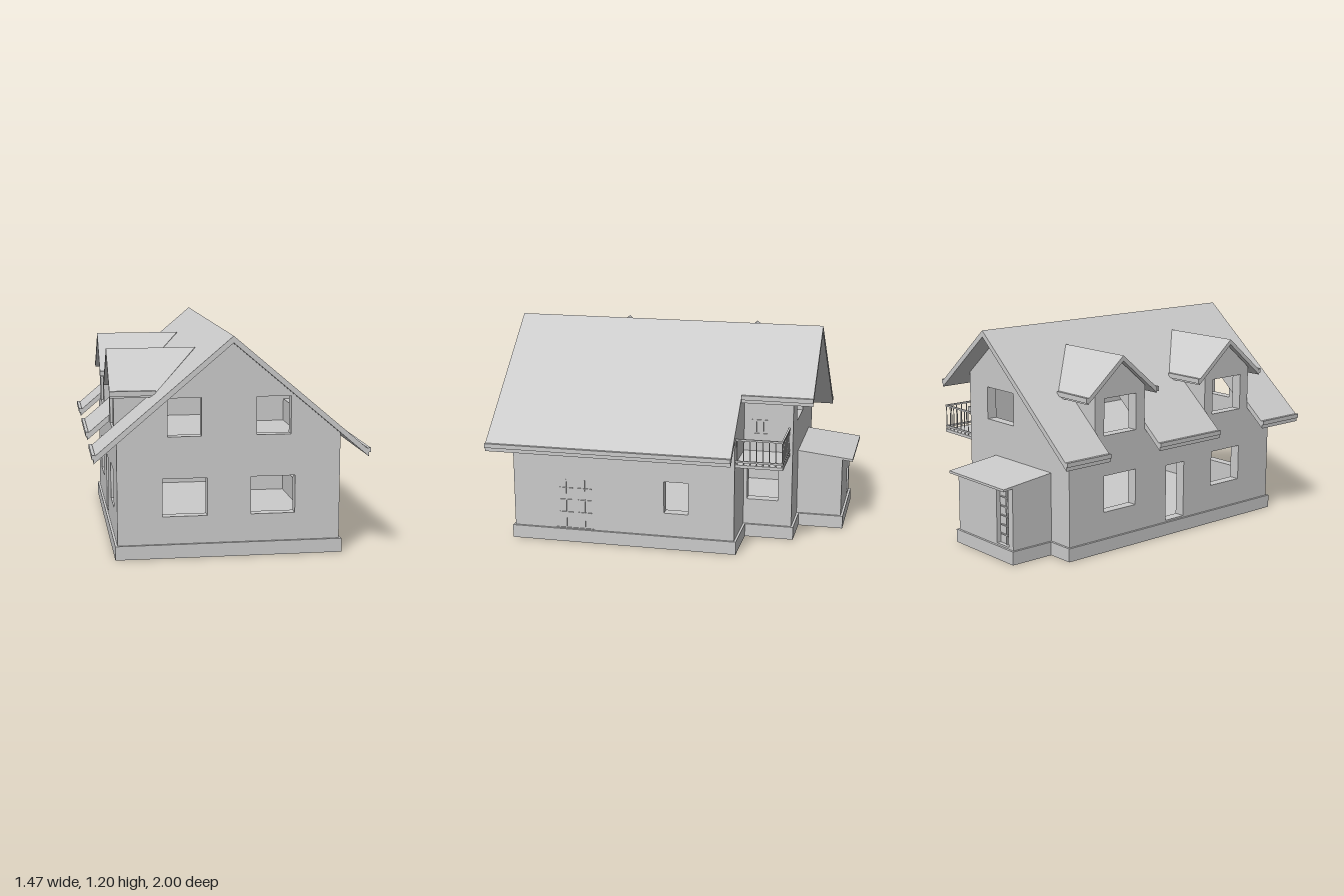
import * as THREE from 'three';

const mat = new THREE.MeshStandardMaterial({ color: 0xcccccc, flatShading: true, side: THREE.DoubleSide });
const T = 0.06;                      // wall thickness
const PITCH = 0.845, RIDGE = 1.195;  // main roof
const roofY = (x) => RIDGE - PITCH * Math.abs(x);
const under = (x) => roofY(x) - 0.036;
const DORMERS = [-0.32, 0.51];       // dormer centres along z

export function createModel() {
  const house = new THREE.Group();
  house.name = 'house';

  const add = (name, geo) => {
    const m = new THREE.Mesh(geo, mat);
    m.name = name;
    house.add(m);
    return m;
  };
  const vec = (pts) => pts.map(([x, y]) => new THREE.Vector2(x, y));
  const rect = (a, b, c, d) => [[a, b], [c, b], [c, d], [a, d]];
  const extrude = (pts, holes, depth) => {
    const s = new THREE.Shape(vec(pts));
    holes.forEach((h) => s.holes.push(new THREE.Path(vec(h))));
    return new THREE.ExtrudeGeometry(s, { depth, bevelEnabled: false });
  };
  // wall drawn in (x, y), filling z0 .. z0 + t
  const wallZ = (name, pts, holes, z0, t = T) => add(name, extrude(pts, holes, t).translate(0, 0, z0));
  // wall drawn in (z, y), filling x1 - t .. x1
  const wallX = (name, pts, holes, x1, t = T) =>
    add(name, extrude(pts, holes, t).rotateY(-Math.PI / 2).translate(x1, 0, 0));
  // slab drawn in plan (x, z), its top following the height rule
  const slab = (name, pts, holes, thick, height) => {
    const g = extrude(pts, holes, thick).rotateX(Math.PI / 2);
    const p = g.attributes.position;
    for (let i = 0; i < p.count; i++) p.setY(i, p.getY(i) + height(p.getX(i), p.getZ(i)));
    g.computeVertexNormals();
    return add(name, g);
  };
  const box = (name, x0, x1, y0, y1, z0, z1) =>
    add(name, new THREE.BoxGeometry(x1 - x0, y1 - y0, z1 - z0)
      .translate((x0 + x1) / 2, (y0 + y1) / 2, (z0 + z1) / 2));

  // L-shaped outline of the house, grown or shrunk by d
  const outline = (d) => [[-0.6 - d, 0.88 + d], [0.6 + d, 0.88 + d], [0.6 + d, -0.4 - d],
    [0.3 + d, -0.4 - d], [0.3 + d, -0.68 - d], [-0.6 - d, -0.68 - d]];
  const annexPlan = (d) => rect(-0.445 - d, -0.94 - d, 0.055 + d, -0.68 - d);

  // plinths and floors
  slab('plinth', outline(0.013), [outline(-0.045)], 0.075, () => 0.075);
  slab('groundFloor', outline(-0.01), [], 0.02, () => 0.07);
  slab('upperFloor', outline(-0.02), [], 0.025, () => 0.515);
  slab('annexPlinth', annexPlan(0.013), [rect(-0.4, -0.9, 0.01, -0.74)], 0.075, () => 0.075);
  slab('annexFloor', annexPlan(-0.01), [], 0.02, () => 0.07);

  // front and back gable walls
  const sills = [[0.225, 0.43], [0.655, 0.86]];
  wallZ('frontWall', [[-0.6, 0.07], [0.6, 0.07], [0.6, under(0.6)], [0, under(0)], [-0.6, under(0.6)]], [
    rect(-0.36, 0.225, -0.12, 0.43), rect(0.115, 0.225, 0.355, 0.43),
    rect(-0.33, 0.655, -0.15, 0.86), rect(0.145, 0.655, 0.33, 0.86)], 0.88 - T);
  wallZ('backWall', [[-0.6, 0.07], [0.3, 0.07], [0.3, under(0.3)], [0, under(0)], [-0.6, under(0.6)]],
    [rect(-0.115, 0.66, 0.13, 0.845)], -0.68);

  // right walls, stepping in behind the balcony
  wallX('rightWall', rect(-0.4, 0.07, 0.88, under(0.6)), [rect(-0.14, 0.21, 0, 0.395)], 0.6);
  wallX('recessedRightWall', rect(-0.68, 0.07, -0.4, under(0.3)), [rect(-0.6, 0.225, -0.42, 0.435)], 0.3);
  wallZ('returnWall', [[0.3 - T, 0.07], [0.6, 0.07], [0.6, under(0.6)], [0.3 - T, under(0.3 - T)]], [], -0.4);

  // left wall rising into the dormer gables
  const eave = under(0.6);
  const leftPts = [[0.88, 0.07], [-0.68, 0.07], [-0.68, eave]];
  const leftHoles = [rect(0.03, 0.085, 0.17, 0.41)];
  DORMERS.forEach((c) => {
    leftPts.push([c - 0.18, eave], [c - 0.18, 0.9], [c, 1.05], [c + 0.18, 0.9], [c + 0.18, eave]);
    sills.forEach(([a, b]) => leftHoles.push(rect(c - 0.115, a, c + 0.115, b)));
  });
  leftPts.push([0.88, eave]);
  wallX('leftWall', leftPts, leftHoles, -0.6 + T);

  // main roof, with notches where the dormers stand
  slab('rightRoof', [[0, 1], [0.725, 1], [0.725, -0.4], [0.4, -0.4], [0.4, -0.8], [0, -0.8]], [], 0.036, roofY);
  const leftRoof = [[0, 1], [0, -0.8], [-0.725, -0.8]];
  DORMERS.forEach((c) => leftRoof.push([-0.725, c - 0.18], [-0.4, c - 0.18], [-0.4, c + 0.18], [-0.725, c + 0.18]));
  leftRoof.push([-0.725, 1]);
  slab('leftRoof', leftRoof, [], 0.036, roofY);

  // eave boards
  box('rightEave', 0.718, 0.735, 0.568, 0.592, -0.4, 1);
  box('recessEave', 0.395, 0.41, 0.84, 0.865, -0.8, -0.4);
  [[-0.8, -0.5], [-0.14, 0.33], [0.69, 1]].forEach(([a, b]) => box('leftEave', -0.735, -0.718, 0.568, 0.592, a, b));

  // dormer roofs and cheeks
  DORMERS.forEach((c) => [-1, 1].forEach((s) => {
    slab('dormerRoof', [[-0.625, c], [-0.135, c], [-0.375, c + s * 0.25], [-0.625, c + s * 0.25]], [], 0.03,
      (x, z) => 1.085 - 0.83 * Math.abs(z - c));
    const e = c + s * 0.253;
    box('dormerEave', -0.627, -0.38, 0.858, 0.885, e - 0.008, e + 0.008);
    wallZ('dormerCheek', [[-0.6, eave], [-0.35, 0.87], [-0.35, 0.9], [-0.6, 0.9]], [], s > 0 ? c + 0.15 : c - 0.18, 0.03);
  }));

  // rear annex with its door
  wallZ('annexBackWall', rect(-0.445, 0.07, 0.055, 0.42), [rect(-0.43, 0.085, -0.3, 0.4)], -0.94, 0.04);
  [-0.405, 0.055].forEach((x) =>
    wallX('annexSideWall', [[-0.94, 0.07], [-0.68, 0.07], [-0.68, 0.448], [-0.94, 0.42]], [], x, 0.04));
  slab('annexRoof', rect(-0.447, -1, 0.057, -0.68), [], 0.013, (x, z) => 0.46 + (z + 0.68) * 0.11);
  box('annexDoor', -0.43, -0.3, 0.085, 0.4, -0.915, -0.9);
  box('annexDoorBar', -0.368, -0.362, 0.085, 0.4, -0.925, -0.915);
  for (let i = 1; i < 6; i++) {
    const y = 0.085 + i * 0.0525;
    box('annexDoorBar', -0.415, -0.315, y - 0.003, y + 0.003, -0.925, -0.915);
  }

  // glazing bars on the right-hand doors
  const bars = (name, x, z, y0, y1, half, rows) => {
    box(name, x, x + 0.006, y0, y1, z - 0.002, z + 0.002);
    rows.forEach((y) => box(name, x, x + 0.006, y - 0.002, y + 0.002, z - half, z + half));
  };
  [0.57, 0.46].forEach((z) => bars('terraceDoorBars', 0.6, z, 0.09, 0.37, 0.04, [0.175, 0.25, 0.32]));
  box('terraceDoorSill', 0.6, 0.606, 0.076, 0.082, 0.41, 0.63);
  [-0.47, -0.51].forEach((z) => bars('balconyDoorBars', 0.3, z, 0.55, 0.8, 0.025, [0.62, 0.7]));

  // balcony and railing
  box('balconyFloor', 0.3, 0.585, 0.5, 0.517, -0.665, -0.4);
  const rail = 0.005;
  [0.535, 0.66].forEach((y) => {
    box('balconyRail', 0.575, 0.585, y - rail, y + rail, -0.665, -0.4);
    box('balconyRail', 0.3, 0.585, y - rail, y + rail, -0.665, -0.655);
  });
  const post = (x, z) => add('baluster', new THREE.CylinderGeometry(0.003, 0.003, 0.145, 6).translate(x, 0.5875, z));
  for (let i = 0; i < 8; i++) post(0.58, -0.41 - i * 0.0357);
  for (let i = 0; i < 7; i++) post(0.32 + i * 0.037, -0.66);

  return house;
}
